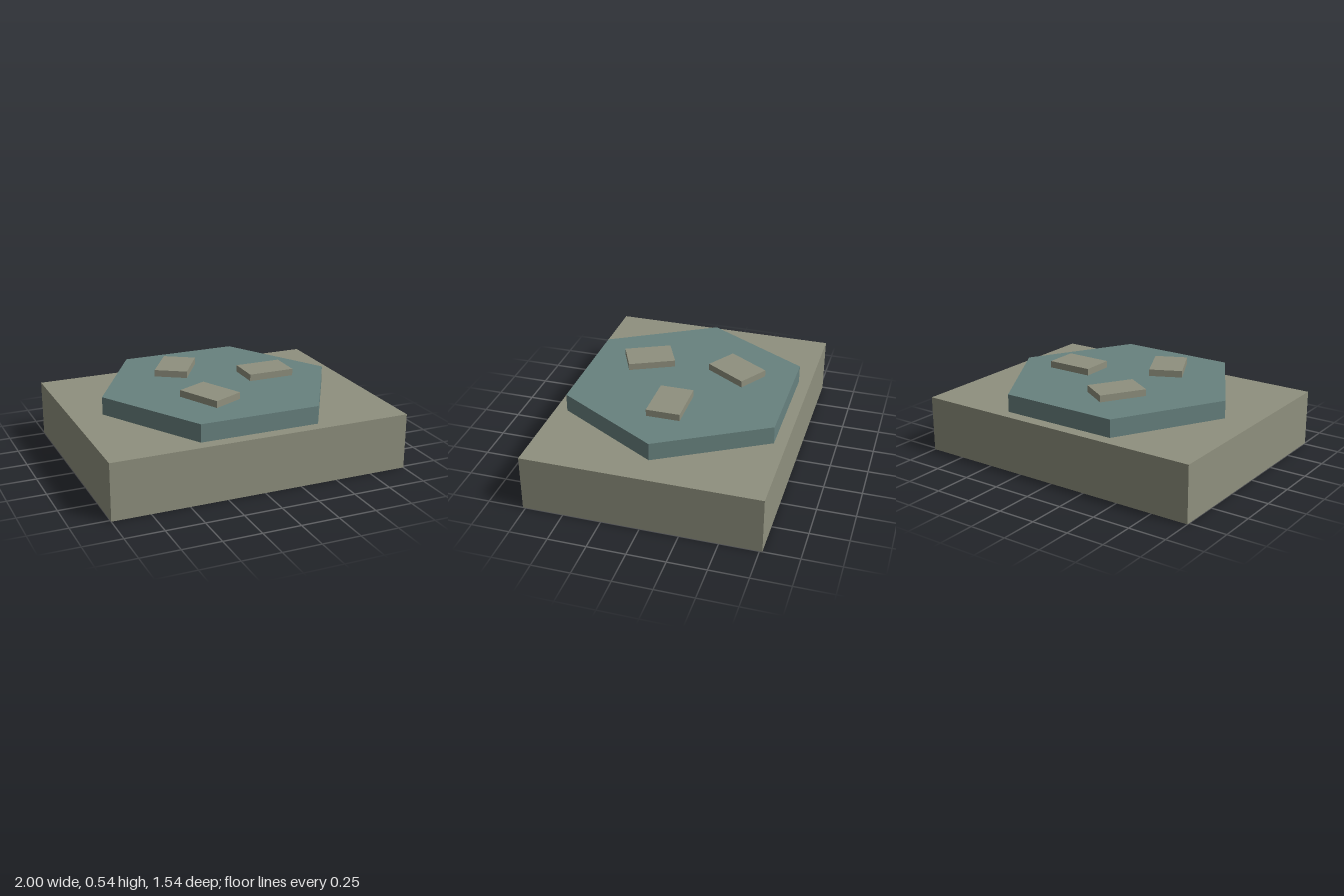
import * as THREE from 'three';

export function createModel() {
  const model = new THREE.Group();
  const stone = new THREE.MeshStandardMaterial({ color: 0x8f907e });
  stone.name = 'stone';
  const teal = new THREE.MeshStandardMaterial({ color: 0x68827f });
  teal.name = 'slate teal';

  const add = (name, geometry, material, x, y, z, turn = 0) => {
    const mesh = new THREE.Mesh(geometry, material);
    mesh.name = name;
    mesh.position.set(x, y, z);
    mesh.rotation.y = turn;
    model.add(mesh);
  };

  // Rectangular base block
  add('base', new THREE.BoxGeometry(2, 0.372, 1.536), stone, 0, 0.186, 0);

  // Hexagonal slab with corners on the x axis
  const hexagon = new THREE.CylinderGeometry(0.795, 0.795, 0.118, 6).toNonIndexed();
  hexagon.computeVertexNormals();
  add('hexSlab', hexagon, teal, 0, 0.431, 0, Math.PI / 2);

  // Three small tiles hovering just above the slab, each turned a little further
  const tile = new THREE.BoxGeometry(0.312, 0.045, 0.22);
  for (let i = 0; i < 3; i++) {
    const a = (i * Math.PI * 2) / 3;
    add(`tile${i + 1}`, tile, stone, 0.352 * Math.cos(a), 0.521, -0.352 * Math.sin(a), i * 1.008);
  }

  return model;
}
